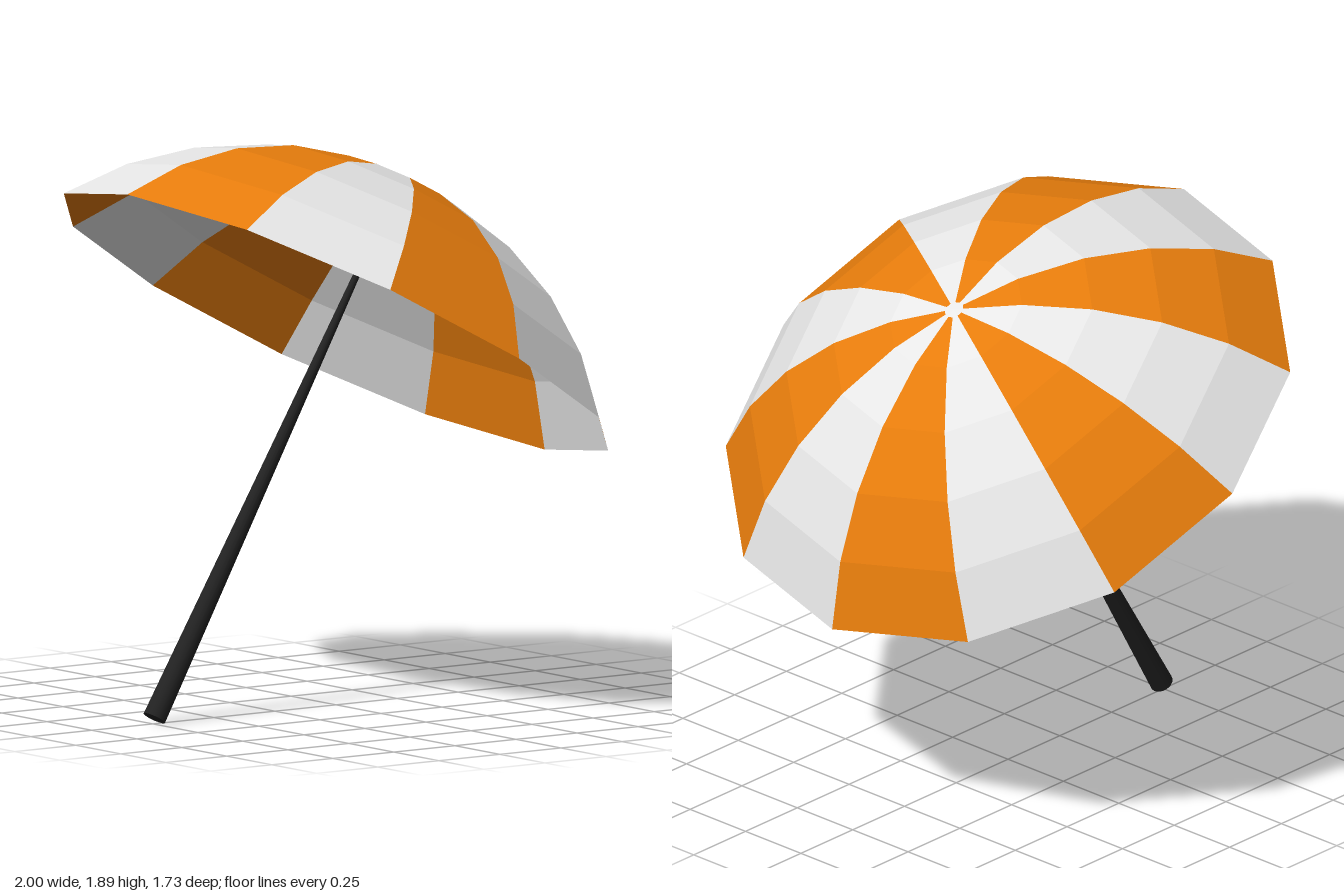
import * as THREE from 'three';

const material = (name, color, extra = {}) => {
  const m = new THREE.MeshStandardMaterial({ color, ...extra });
  m.name = name;
  return m;
};

export function createModel() {
  const deg = Math.PI / 180;
  const cloth = { flatShading: true, side: THREE.DoubleSide };
  const white = material('white', 0xe6e6e6, cloth);
  const orange = material('orange', 0xe67c0c, cloth);
  const black = material('black', 0x222222);

  const model = new THREE.Group();
  model.name = 'parasol';

  // Canopy: a spherical cap of twelve gores, leaning back by 30 degrees
  const canopy = new THREE.Group();
  canopy.name = 'canopy';
  canopy.position.y = 1.275;
  canopy.rotation.set(-30 * deg, 0.9 * deg, 0);
  model.add(canopy);

  const gores = 12, rings = 5, cap = 55.3 * deg;
  const radius = 1 / Math.sin(cap);
  const profile = [];
  for (let i = rings; i >= 0; i--) {
    const t = (cap * i) / rings;
    profile.push(new THREE.Vector2(
      radius * Math.sin(t), radius * (Math.cos(t) - Math.cos(cap))));
  }
  const apex = profile[rings];
  const crownEdge = apex.clone().lerp(profile[rings - 1], 0.14);

  const addGore = (name, points, mat, i) => {
    const step = (2 * Math.PI) / gores;
    const mesh = new THREE.Mesh(new THREE.LatheGeometry(points, 1, i * step, step), mat);
    mesh.name = name;
    canopy.add(mesh);
  };

  // Orange gores stop short of the white crown
  for (let i = 0; i < gores; i++) {
    if (i % 2 === 0) {
      addGore('orangeGore', [...profile.slice(0, rings), crownEdge], orange, i);
      addGore('crown', [crownEdge, apex], white, i);
    } else {
      addGore('whiteGore', profile, white, i);
    }
  }

  // Tapering pole from the foot to the crown
  const foot = new THREE.Vector3(0.008, 0.02, 0.75);
  const top = new THREE.Vector3(-0.008, 1.715, -0.262);
  const axis = top.clone().sub(foot);
  const pole = new THREE.Mesh(
    new THREE.CylinderGeometry(0.006, 0.039, axis.length(), 16), black);
  pole.name = 'pole';
  pole.position.copy(foot).add(top).multiplyScalar(0.5);
  pole.quaternion.setFromUnitVectors(new THREE.Vector3(0, 1, 0), axis.normalize());
  model.add(pole);

  return model;
}
